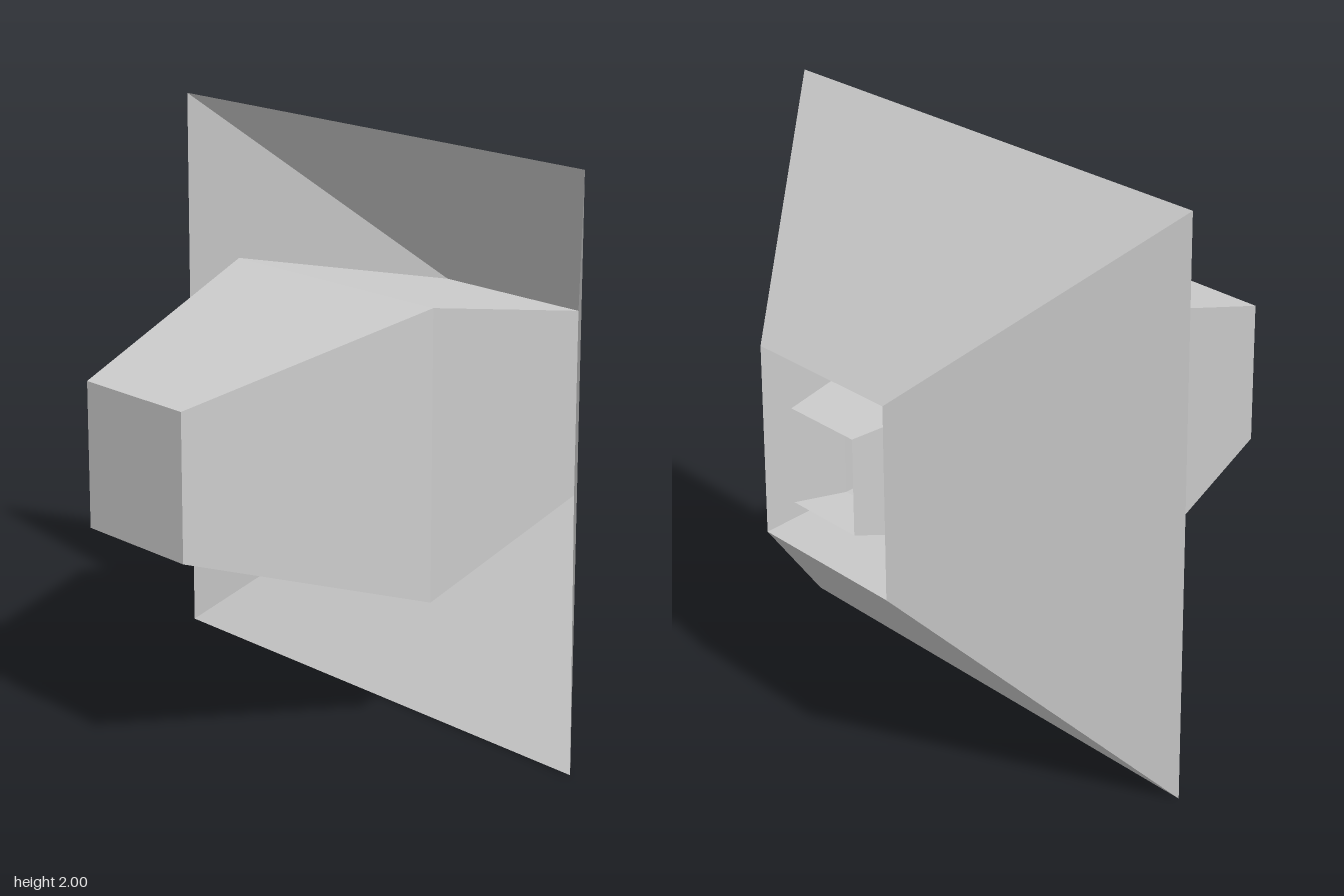
import * as THREE from 'three';

const material = new THREE.MeshStandardMaterial({
  color: 0xcccccc, flatShading: true, side: THREE.DoubleSide,
});

// Square shell along z; profile is a list of [half width, z]
function squareShell(name, profile) {
  const points = profile.map(([half, z]) => new THREE.Vector2(half * Math.SQRT2, z));
  const geometry = new THREE.LatheGeometry(points, 4, Math.PI / 4).toNonIndexed();
  geometry.rotateX(Math.PI / 2);
  geometry.computeVertexNormals();
  const mesh = new THREE.Mesh(geometry, material);
  mesh.name = name;
  mesh.position.y = 1;
  return mesh;
}

export function createModel() {
  const group = new THREE.Group();
  group.name = 'squareHorn';
  group.add(
    // Wide flared dish, open at its back
    squareShell('flaredDish', [[0.3333, -0.8333], [1, -0.1667]]),
    // Closed central body, rising from the throat of the dish
    squareShell('centralBody', [[0.3333, -0.8333], [0.5, 0], [0.25, 0.8333], [0, 0.8333]]),
    // Sloping recess around the rear socket
    squareShell('rearRecess', [[0.3333, -0.8333], [0.215, -0.59]]),
    // Small hollow socket, closed inside
    squareShell('rearSocket', [[0.1667, -0.8333], [0.215, -0.59], [0.16, -0.49], [0, -0.49]]),
  );
  return group;
}
